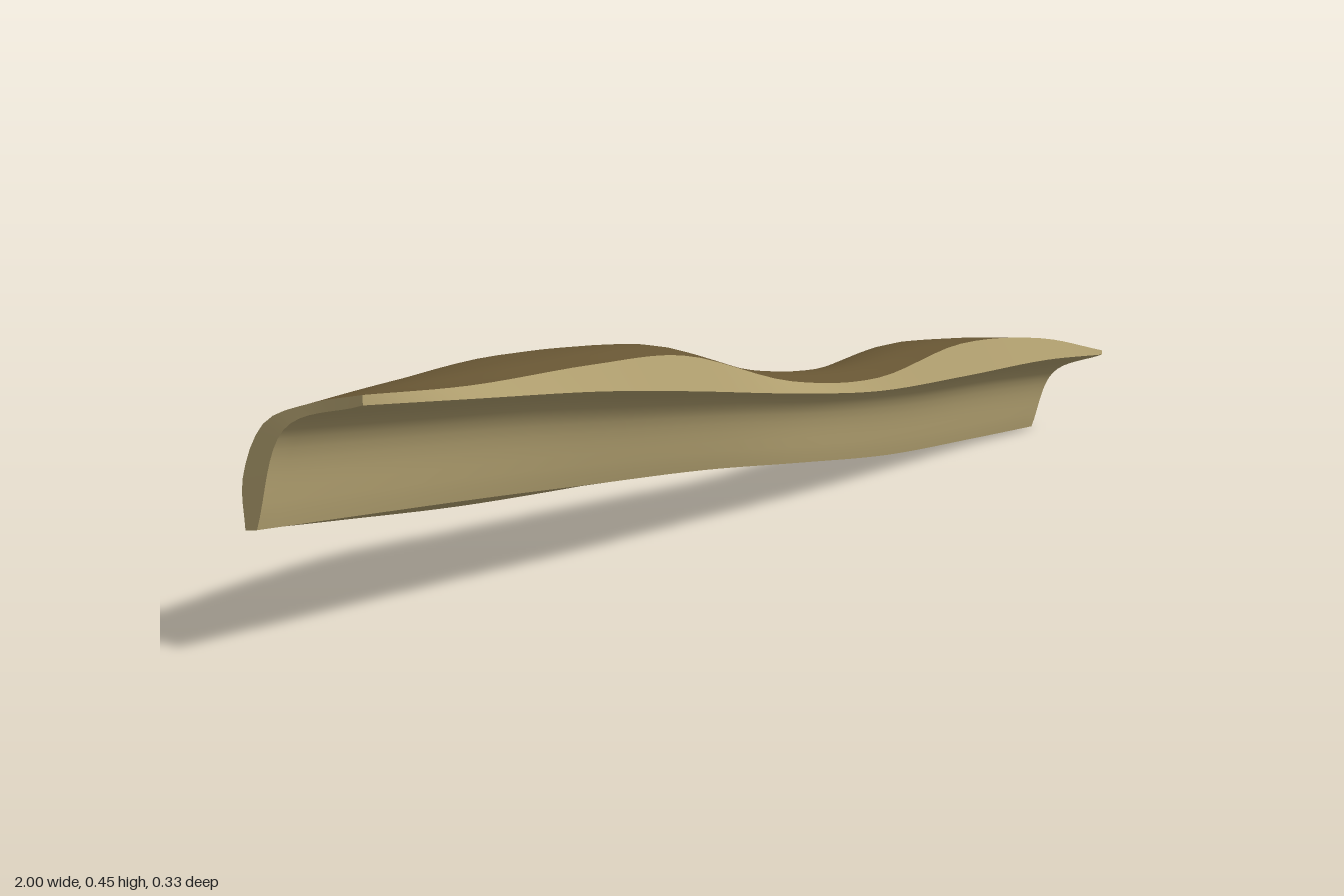
import * as THREE from 'three';

// Stations along the length, and [z, y] tracks that run through them.
const stations = [-0.98, -0.75, -0.47, -0.25, 0.05, 0.3, 0.55, 0.8, 0.985];
const lip = [[.125, .448], [.13, .42], [.135, .402], [.14, .378], [.138, .278], [.138, .238], [.14, .255], [.15, .222], [.165, .168]];
const crest = [[.02, .42], [.02, .415], [.04, .405], [.05, .385], [.04, .285], [.04, .243], [.06, .25], [.09, .21], [.1, .155]];
const shoulder = [[-.075, .375], [-.09, .375], [-.09, .375], [-.07, .34], [-.07, .25], [-.045, .21], [-.03, .222], [0, .17], [.035, .115]];
const back = [[-.112, .285], [-.148, .27], [-.168, .22], [-.137, .2], [-.125, .16], [-.085, .13], [-.08, .1], [-.042, .08], [.006, .05]];
const heel = [[-.1, .207], [-.12, .17], [-.13, .13], [-.105, .115], [-.1, .09], [-.07, .055], [-.065, .025], [-.03, .01], [.012, .002]];
const innerTop = [[.125, .432], [.137, .4], [.148, .36], [.155, .32], [.146, .258], [.144, .215], [.153, .197], [.16, .182], [.166, .16]];
const innerBottom = [[-.075, .212], [-.06, .19], [-.05, .16], [-.04, .135], [-.03, .1], [-.01, .065], [0, .03], [.012, .012], [.026, .002]];

const LENGTH_STEPS = 48;
const ARC_STEPS = 16;

// Middle of the hollow: the chord midpoint pushed back square to the chord.
const innerMiddle = innerTop.map(([tz, ty], i) => {
  const [bz, by] = innerBottom[i];
  const dz = tz - bz, dy = ty - by, length = Math.hypot(dz, dy);
  const depth = 0.075 - 0.03 * i / (innerTop.length - 1);
  return [(tz + bz) / 2 - dy / length * depth, (ty + by) / 2 + dz / length * depth];
});

// Lengthwise curve; both ends are cut slightly askew from top (0) to bottom (1).
function track(points, drop) {
  const x0 = -0.97 - 0.03 * drop, x1 = 1 - 0.025 * drop;
  return new THREE.CatmullRomCurve3(points.map(([z, y], i) => {
    const t = (stations[i] - stations[0]) / (stations[8] - stations[0]);
    return new THREE.Vector3(x0 + (x1 - x0) * t, y, z);
  }));
}

// Cross-sections made by joining the tracks at each step.
function sections(tracks, steps) {
  return Array.from({ length: LENGTH_STEPS + 1 }, (_, i) => {
    const points = tracks.map((curve) => curve.getPoint(i / LENGTH_STEPS));
    return new THREE.CatmullRomCurve3(points).getPoints(steps);
  });
}

// Smooth skin over rows of points.
function skin(rows) {
  const columns = rows[0].length;
  const index = [];
  for (let i = 0; i < rows.length - 1; i++) {
    for (let j = 0; j < columns - 1; j++) {
      const a = i * columns + j, b = a + columns;
      index.push(a, b, a + 1, b, b + 1, a + 1);
    }
  }
  const geometry = new THREE.BufferGeometry().setFromPoints(rows.flat());
  geometry.setIndex(index);
  geometry.computeVertexNormals();
  return geometry;
}

export function createModel() {
  const group = new THREE.Group();
  group.name = 'barkPiece';
  const bark = new THREE.MeshStandardMaterial({ color: 0x6a5835 });
  bark.name = 'brown bark';
  const wood = new THREE.MeshStandardMaterial({ color: 0xb8a674 });
  wood.name = 'pale inner wood';

  const add = (name, rows, material) => {
    const mesh = new THREE.Mesh(skin(rows), material);
    mesh.name = name;
    group.add(mesh);
  };

  const outer = sections([track(lip, 0), track(crest, 0.15), track(shoulder, 0.35), track(back, 0.7), track(heel, 1)], ARC_STEPS);
  const inner = sections([track(innerTop, 0), track(innerMiddle, 0.4), track(innerBottom, 1)], ARC_STEPS);
  const last = LENGTH_STEPS;

  // Bulging outside and smooth hollow
  add('outerBark', outer, bark);
  add('innerHollow', inner.map((row) => [...row].reverse()), wood);

  // Broken edges that join the two skins
  add('topEdge', outer.map((row, i) => [inner[i][0], row[0]]), wood);
  add('bottomEdge', outer.map((row, i) => [row[ARC_STEPS], inner[i][ARC_STEPS]]), wood);
  add('rightEnd', [inner[0], outer[0]], wood);
  add('leftEnd', [outer[last], inner[last]], wood);

  return group;
}
